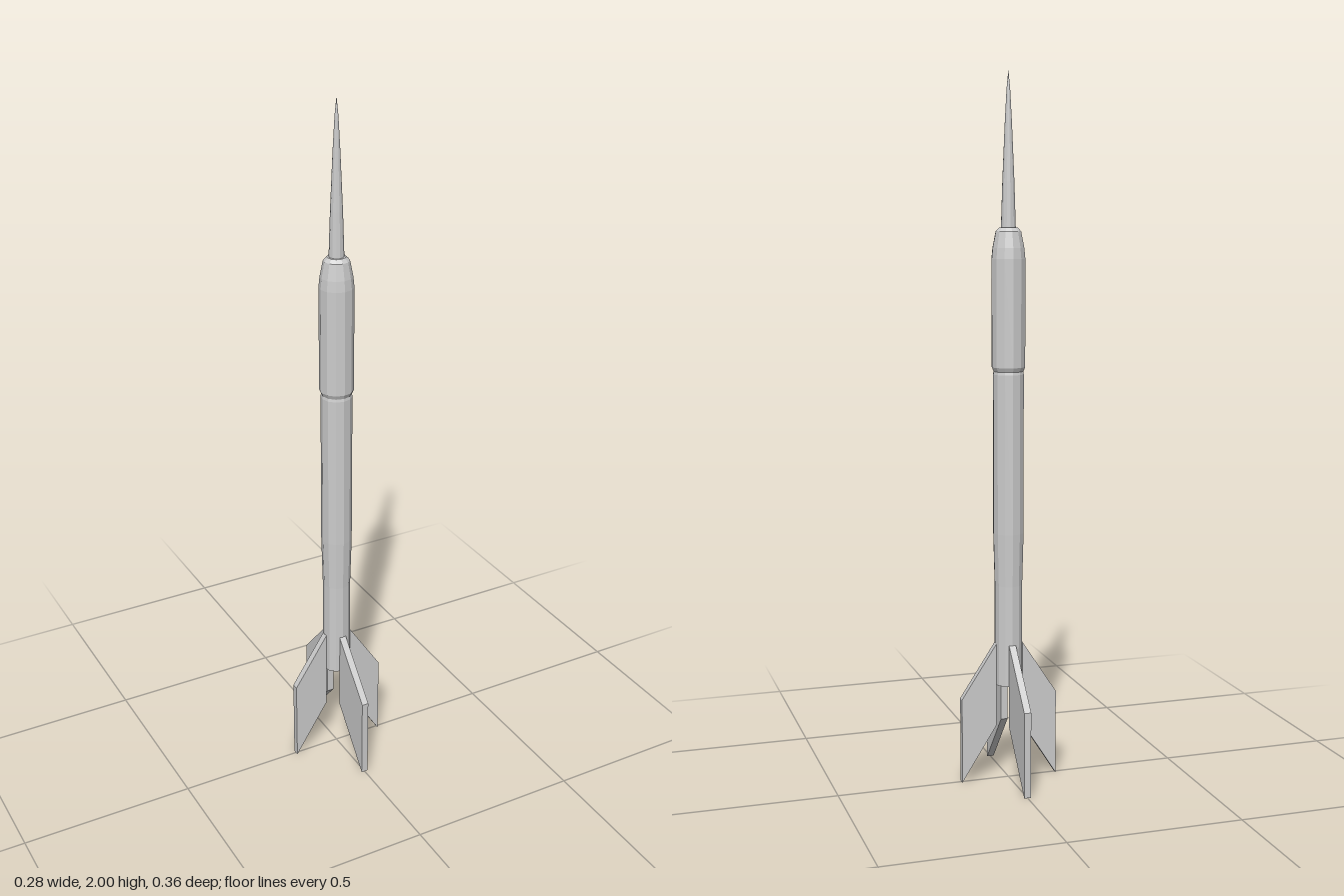
import * as THREE from 'three';

const SIDES = 12;
const material = new THREE.MeshStandardMaterial({ color: 0xcccccc, flatShading: true, side: THREE.DoubleSide });

// Faceted turned part from [radius, height] pairs, listed bottom to top
function turned(name, profile) {
  const points = profile.map(([r, y]) => new THREE.Vector2(r, y));
  const mesh = new THREE.Mesh(new THREE.LatheGeometry(points, SIDES), material);
  mesh.name = name;
  return mesh;
}

// Swept-back slab fin reaching out along +x, then turned about y
function fin(name, reach, angle) {
  const root = 0.039, thickness = 0.02;
  const shape = new THREE.Shape([
    new THREE.Vector2(root, 0.4),
    new THREE.Vector2(root, 0.16),
    new THREE.Vector2(reach, 0),
    new THREE.Vector2(reach, 0.245),
  ]);
  const geometry = new THREE.ExtrudeGeometry(shape, { depth: thickness, bevelEnabled: false });
  geometry.translate(0, 0, -thickness / 2);
  const mesh = new THREE.Mesh(geometry, material);
  mesh.name = name;
  mesh.rotation.y = angle;
  return mesh;
}

export function createModel() {
  const rocket = new THREE.Group();
  rocket.name = 'rocket';

  // Long lower tube, slightly narrower at the tail
  rocket.add(turned('body', [
    [0, 0.28], [0.04, 0.28], [0.04, 0.57], [0.044, 0.72], [0.044, 1.17], [0.041, 1.185],
  ]));

  // Wider forward section with a rounded shoulder
  rocket.add(turned('forwardSection', [
    [0.041, 1.175], [0.048, 1.19], [0.048, 1.49], [0.045, 1.52], [0.036, 1.565], [0.026, 1.575], [0, 1.577],
  ]));

  // Slender nose spike
  rocket.add(turned('noseSpike', [
    [0.021, 1.573], [0.017, 1.7], [0.01, 1.86], [0.005, 1.95], [0, 2],
  ]));

  // Four fins: the front and back pair reach further than the side pair
  const fins = new THREE.Group();
  fins.name = 'fins';
  ['leftFin', 'backFin', 'rightFin', 'frontFin'].forEach((name, i) => {
    fins.add(fin(name, i % 2 ? 0.178 : 0.141, i * Math.PI / 2));
  });
  rocket.add(fins);

  return rocket;
}
